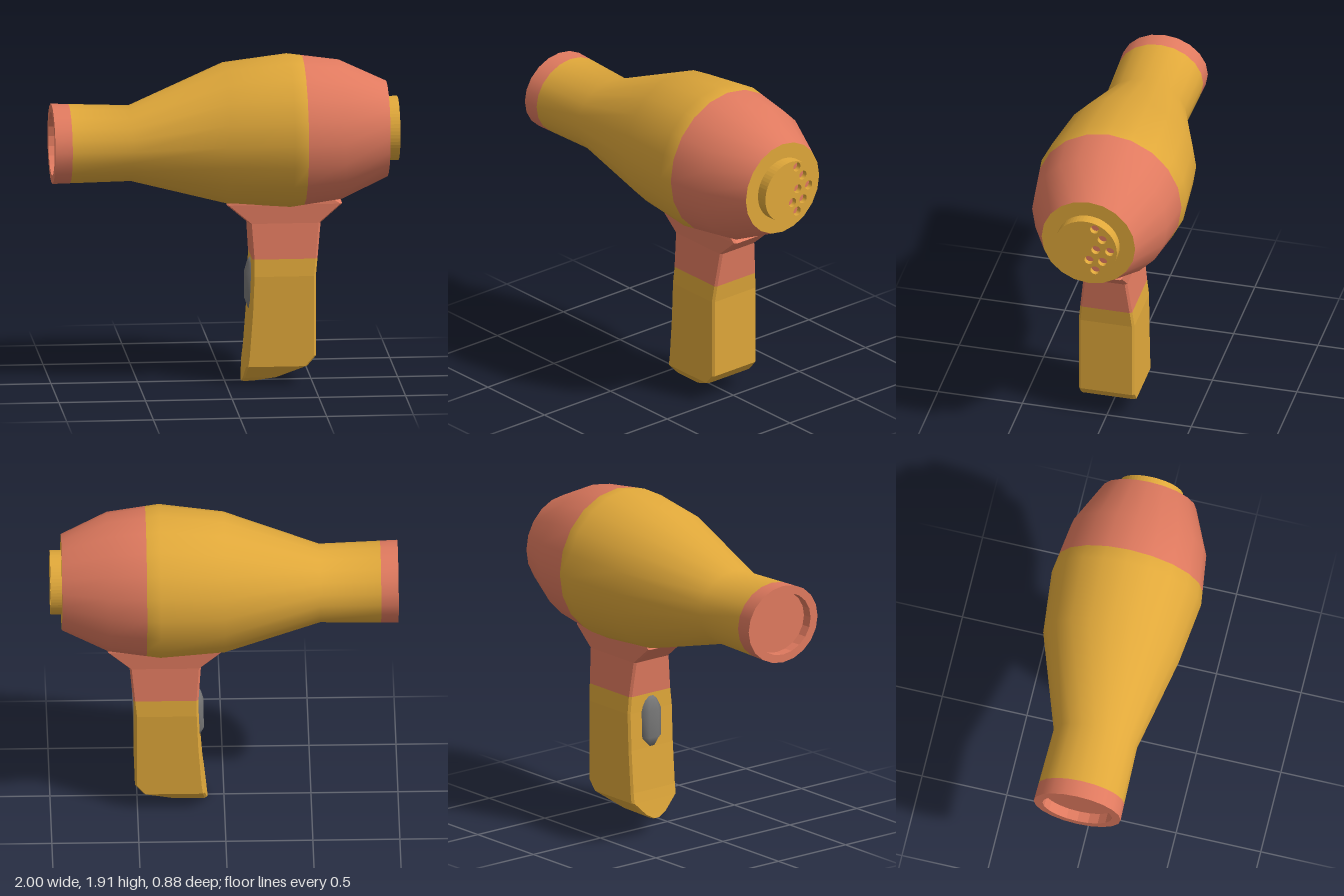
import * as THREE from 'three';

const mat = (name, color) => Object.assign(new THREE.MeshStandardMaterial({ color }), { name });

// Joins equal-length rings of points; the rings turn counter-clockwise about the loft axis.
// segMats gives a material index for each band between two rings.
function loft(rings, { capStart = false, capEnd = false, flat = false, segMats = [] } = {}) {
  const n = rings[0].length, index = [];
  let geo = new THREE.BufferGeometry();
  const add = (m, tris) => {
    geo.addGroup(index.length, tris.length, m);
    index.push(...tris);
  };
  for (let i = 0; i < rings.length - 1; i++) {
    const tris = [];
    for (let j = 0; j < n; j++) {
      const a = i * n + j, b = i * n + (j + 1) % n;
      tris.push(a, b, a + n, b, b + n, a + n);
    }
    add(segMats[i] ?? 0, tris);
  }
  const last = (rings.length - 1) * n;
  for (let j = 1; j < n - 1; j++) {
    if (capStart) add(segMats[0] ?? 0, [0, j + 1, j]);
    if (capEnd) add(segMats[rings.length - 2] ?? 0, [last, last + j, last + j + 1]);
  }
  geo.setAttribute('position', new THREE.Float32BufferAttribute(rings.flat(2), 3));
  geo.setIndex(index);
  if (flat) geo = geo.toNonIndexed();
  geo.computeVertexNormals();
  return geo;
}

// Elliptical ring across the barrel
const SIDES = 20;
const barrelRing = ([x, cy, ry, cz, rz]) => Array.from({ length: SIDES }, (_, j) => {
  const a = j / SIDES * Math.PI * 2;
  return [x, cy + ry * Math.cos(a), cz + rz * Math.sin(a)];
});

// Horizontal rectangle with bevelled corners: left x, right x, half width
const gripRing = (bx, bz) => ([y, l, r, w]) => {
  const cx = Math.min(bx, (r - l) * 0.3), cz = Math.min(bz, w * 0.5);
  return [
    [r, y, w - cz], [r, y, cz - w], [r - cx, y, -w], [l + cx, y, -w],
    [l, y, cz - w], [l, y, w - cz], [l + cx, y, w], [r - cx, y, w],
  ];
};

export function createModel() {
  const yellow = mat('yellow plastic', 0xe0a83a);
  const coral = mat('coral plastic', 0xe07a5f);
  const grey = mat('grey switch', 0x777777);
  const model = new THREE.Group();
  model.name = 'hairDryer';
  const put = (name, geo, material) => {
    const mesh = new THREE.Mesh(geo, material);
    mesh.name = name;
    model.add(mesh);
    return mesh;
  };

  // Barrel: x, centre y, half height, centre z, half depth
  put('barrel', loft([
    [-1, 1.42, 0.23, 0.035, 0.257],
    [-0.9, 1.419, 0.227, 0.035, 0.254],
    [-0.55, 1.415, 0.217, 0.035, 0.246],
    [0, 1.456, 0.408, -0.004, 0.4],
    [0.37, 1.465, 0.444, 0, 0.441],
    [0.45, 1.465, 0.433, 0, 0.43],
    [0.67, 1.465, 0.402, 0, 0.4],
    [0.935, 1.465, 0.277, 0, 0.277],
  ].map(barrelRing), { segMats: [1, 0, 0, 0, 0, 1, 1] }), [yellow, coral]);

  // Nozzle mouth: recessed disc, inner wall and flat rim
  put('nozzleMouth', loft([
    [-0.94, 1.42, 0.183, 0.035, 0.205],
    [-1, 1.42, 0.183, 0.035, 0.205],
    [-1, 1.42, 0.23, 0.035, 0.257],
  ].map(barrelRing), { capStart: true, flat: true }), coral);

  // Rear plate closing the barrel
  put('rearPlate', new THREE.CircleGeometry(0.277, SIDES).rotateY(Math.PI / 2).translate(0.935, 1.465, 0), yellow);

  // Round air intake with small holes over a coral backing
  const disc = new THREE.Shape().absarc(0, 0, 0.185, 0, Math.PI * 2);
  const holes = [[0.053, 0.14], [0.098, 0.075], [0.142, 0], [0.06, 0], [0.02, -0.075], [0.1, -0.075], [0.055, -0.14]];
  for (const [x, y] of holes) disc.holes.push(new THREE.Path().absarc(x, y, 0.027, 0, Math.PI * 2, true));
  put('airIntake', new THREE.ExtrudeGeometry(disc, { depth: 0.07, bevelEnabled: false, curveSegments: 28 })
    .rotateY(Math.PI / 2).translate(0.93, 1.465, 0), yellow);
  put('intakeBacking', new THREE.CircleGeometry(0.18, 24).rotateY(Math.PI / 2).translate(0.97, 1.465, 0), coral);

  // Handle: y, left x, right x, half width; flares where it meets the barrel
  put('handle', loft([
    [0, 0.095, 0.17, 0.03],
    [0.03, 0.1, 0.3, 0.085],
    [0.11, 0.112, 0.465, 0.165],
    [0.17, 0.12, 0.515, 0.165],
    [0.42, 0.139, 0.515, 0.165],
    [0.64, 0.148, 0.515, 0.165],
    [0.74, 0.149, 0.525, 0.154],
    [0.945, 0.135, 0.545, 0.13],
    [1.055, 0.005, 0.67, 0.13],
    [1.12, 0.1, 0.57, 0.12],
  ].map(gripRing(0.012, 0.013)), {
    capStart: true, capEnd: true, flat: true, segMats: [0, 0, 0, 0, 0, 0, 1, 1, 1],
  }), [yellow, coral]);

  // Switch on the leading face of the handle
  put('switch', loft([
    [0.425, 0.136, 0.2, 0.03],
    [0.48, 0.116, 0.2, 0.07],
    [0.64, 0.118, 0.2, 0.07],
    [0.7, 0.134, 0.2, 0.05],
    [0.722, 0.148, 0.2, 0.03],
  ].map(gripRing(0.025, 0.035)), { capStart: true, capEnd: true }), grey);

  return model;
}
